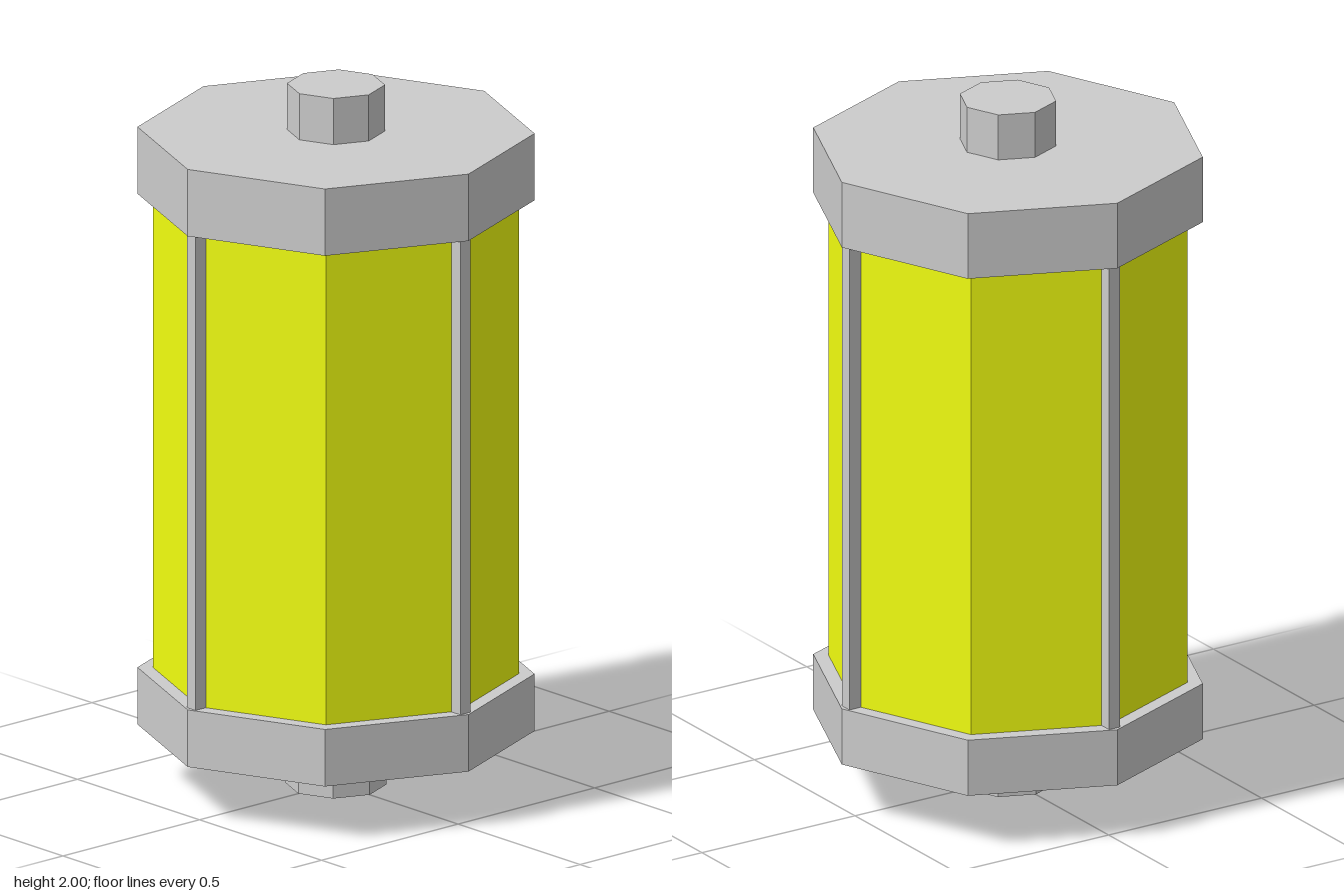
import * as THREE from 'three';

export function createModel() {
  const model = new THREE.Group();
  const grey = new THREE.MeshStandardMaterial({ color: 0xcccccc, flatShading: true });
  const yellow = new THREE.MeshStandardMaterial({ color: 0xf2ff10, flatShading: true });

  // Octagonal prism between two heights, corners on the x and z axes
  function prism(name, radius, y0, y1, material) {
    const mesh = new THREE.Mesh(new THREE.CylinderGeometry(radius, radius, y1 - y0, 8), material);
    mesh.name = name;
    mesh.position.y = (y0 + y1) / 2;
    model.add(mesh);
  }

  prism('bottomPeg', 0.138, 0, 0.16, grey);
  prism('bottomCap', 0.543, 0.16, 0.323, grey);
  prism('body', 0.5, 0.323, 1.677, yellow);
  prism('topCap', 0.543, 1.677, 1.868, grey);
  prism('topPeg', 0.134, 1.868, 2, grey);

  // Four upright rods on alternate corners of the body
  const rodGeometry = new THREE.BoxGeometry(0.036, 1.354, 0.06);
  for (let i = 0; i < 4; i++) {
    const angle = (i * Math.PI) / 2;
    const rod = new THREE.Mesh(rodGeometry, grey);
    rod.name = 'rod' + (i + 1);
    rod.position.set(Math.sin(angle) * 0.5, 1, Math.cos(angle) * 0.5);
    rod.rotation.y = angle;
    model.add(rod);
  }

  return model;
}
